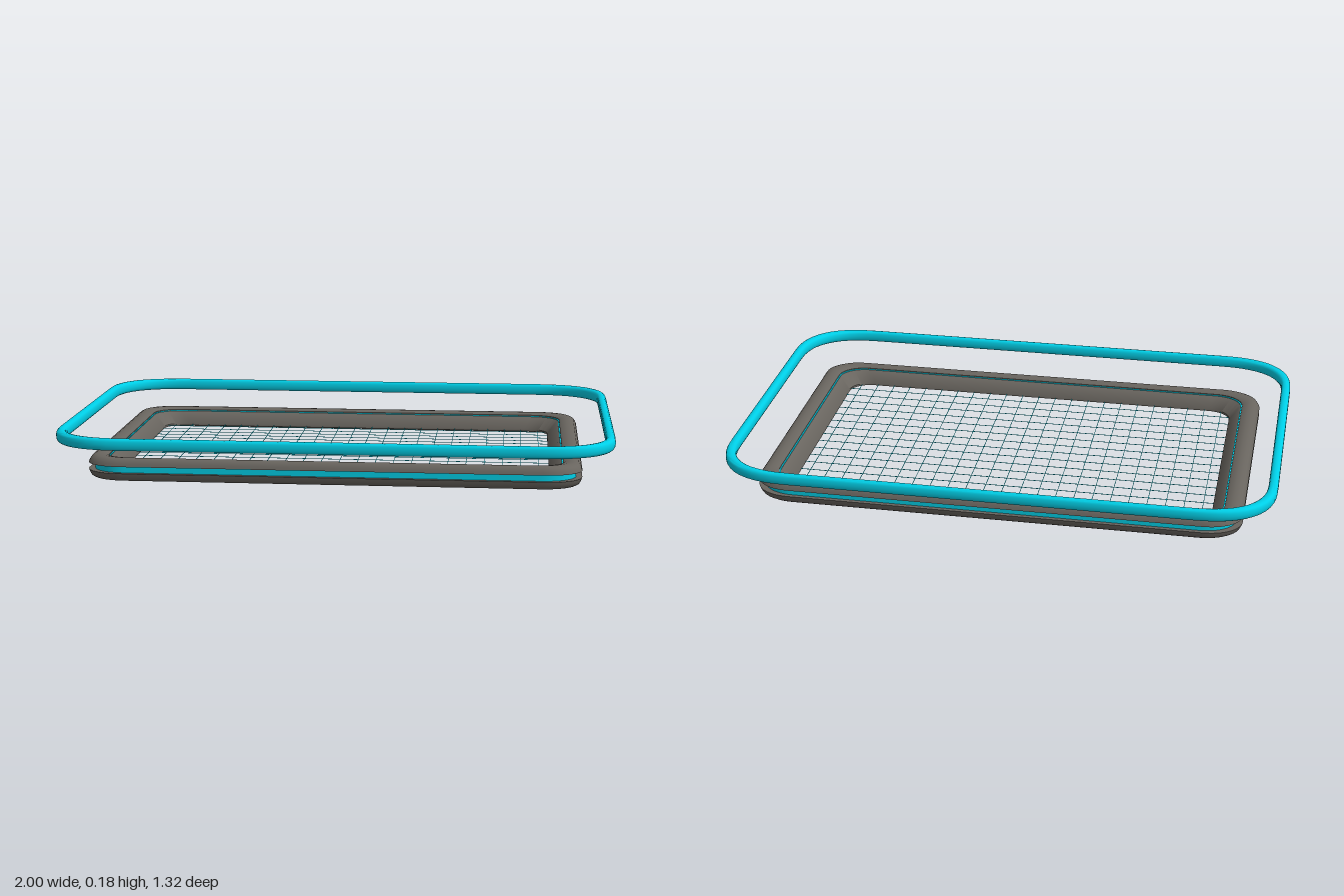
import * as THREE from 'three';
import { toCreasedNormals } from 'three/addons/utils/BufferGeometryUtils.js';

const teal = new THREE.MeshStandardMaterial({ color: 0x00d0e8 });
teal.name = 'teal';
const grey = new THREE.MeshStandardMaterial({ color: 0x69655f });
grey.name = 'warm grey';

const MID = 0.041; // height of the split between the two frames
const NET_Y = 0.018;
const SQUASH = 0.72; // sections are narrower along z than along x

// Signed power, used to square off circles
const soft = (v, p) => Math.sign(v) * Math.pow(Math.abs(v), p);

// Sweeps a closed section of [inset, y] points round a rounded rectangle.
function sweepFrame(section, { halfX, halfZ, rx, rz, power }, steps = 12) {
  const pos = [], idx = [], n = section.length, m = 4 * (steps + 1);
  for (let q = 0; q < 4; q++) {
    const sx = q === 0 || q === 3 ? 1 : -1, sz = q < 2 ? 1 : -1;
    for (let s = 0; s <= steps; s++) {
      const t = s / steps * Math.PI / 2;
      // Odd quarters run the curve backwards so the path keeps one direction
      const u = q % 2 ? Math.PI / 2 - t : t;
      const cx = soft(Math.cos(u), power), cz = soft(Math.sin(u), power);
      for (const [d, y] of section) {
        const a = rx - d * 0.4, b = rz - d * SQUASH * 0.4;
        pos.push(
          sx * (halfX - d - a + a * cx), y,
          sz * (halfZ - d * SQUASH - b + b * cz));
      }
    }
  }
  for (let i = 0; i < m; i++) {
    for (let j = 0; j < n; j++) {
      const i2 = (i + 1) % m, j2 = (j + 1) % n;
      const a = i * n + j, b = i * n + j2, c = i2 * n + j, e = i2 * n + j2;
      idx.push(a, b, c, b, e, c);
    }
  }
  const g = new THREE.BufferGeometry();
  g.setAttribute('position', new THREE.Float32BufferAttribute(pos, 3));
  g.setIndex(idx);
  return toCreasedNormals(g, 0.7);
}

export function createModel() {
  const model = new THREE.Group();
  model.name = 'netTray';
  const add = (name, geometry, material, parent = model) => {
    const mesh = new THREE.Mesh(geometry, material);
    mesh.name = name;
    parent.add(mesh);
    return mesh;
  };

  // Floating outer hoop with a rounded section
  const hoop = [];
  for (let k = 0; k < 16; k++) {
    const t = k / 16 * Math.PI * 2;
    hoop.push([
      0.0175 - 0.0175 * soft(Math.cos(t), 0.75),
      0.154 + 0.022 * soft(Math.sin(t), 0.75),
    ]);
  }
  add('outerHoop', sweepFrame(hoop, { halfX: 1, halfZ: 0.66, rx: 0.28, rz: 0.25, power: 0.8 }), teal);

  // Upper and lower frame lips; the lower one is narrower
  const tray = { halfX: 0.885, halfZ: 0.55, rx: 0.135, rz: 0.107, power: 0.97 };
  const lip = [
    [0.012, 0.053], [0, 0.053], [0.004, 0.063], [0.012, 0.075], [0.024, 0.081],
    [0.04, 0.082], [0.06, 0.079], [0.068, 0.073], [0.068, 0.053],
  ];
  const lowerLip = lip.map(([d, y]) => [d * 0.78, 2 * MID - y]).reverse();
  add('upperFrame', sweepFrame(lip, tray), grey);
  add('lowerFrame', sweepFrame(lowerLip, tray), grey);

  // Inner wall sloping down to the net
  const slope = [[0.072, 0.03], [0.072, 0.068], [0.08, 0.064], [0.115, 0.022], [0.115, 0.014], [0.108, 0.012]];
  add('innerWall', sweepFrame(slope, tray), grey);

  // Teal seal between the frames, showing as a thin bead inside and underneath
  const seal = [
    [0.022, 0.028], [0.022, 0.054], [0.067, 0.054], [0.068, 0.07],
    [0.073, 0.07], [0.073, 0.02], [0.052, 0.02], [0.052, 0.028],
  ];
  add('seal', sweepFrame(seal, tray), teal);

  // Net of fine crossing wires
  const net = new THREE.Group();
  net.name = 'net';
  model.add(net);
  const WIRE = 0.0018;
  const alongZ = new THREE.BoxGeometry(WIRE, WIRE, 0.94);
  const alongX = new THREE.BoxGeometry(1.55, WIRE, WIRE);
  for (let k = -11; k <= 11; k++) {
    add('crossWire', alongZ, teal, net).position.set(k * 0.0667, NET_Y, 0);
  }
  for (let k = -7; k <= 7; k++) {
    add('longWire', alongX, teal, net).position.set(0, NET_Y, k * 0.06 - 0.008);
  }
  return model;
}
